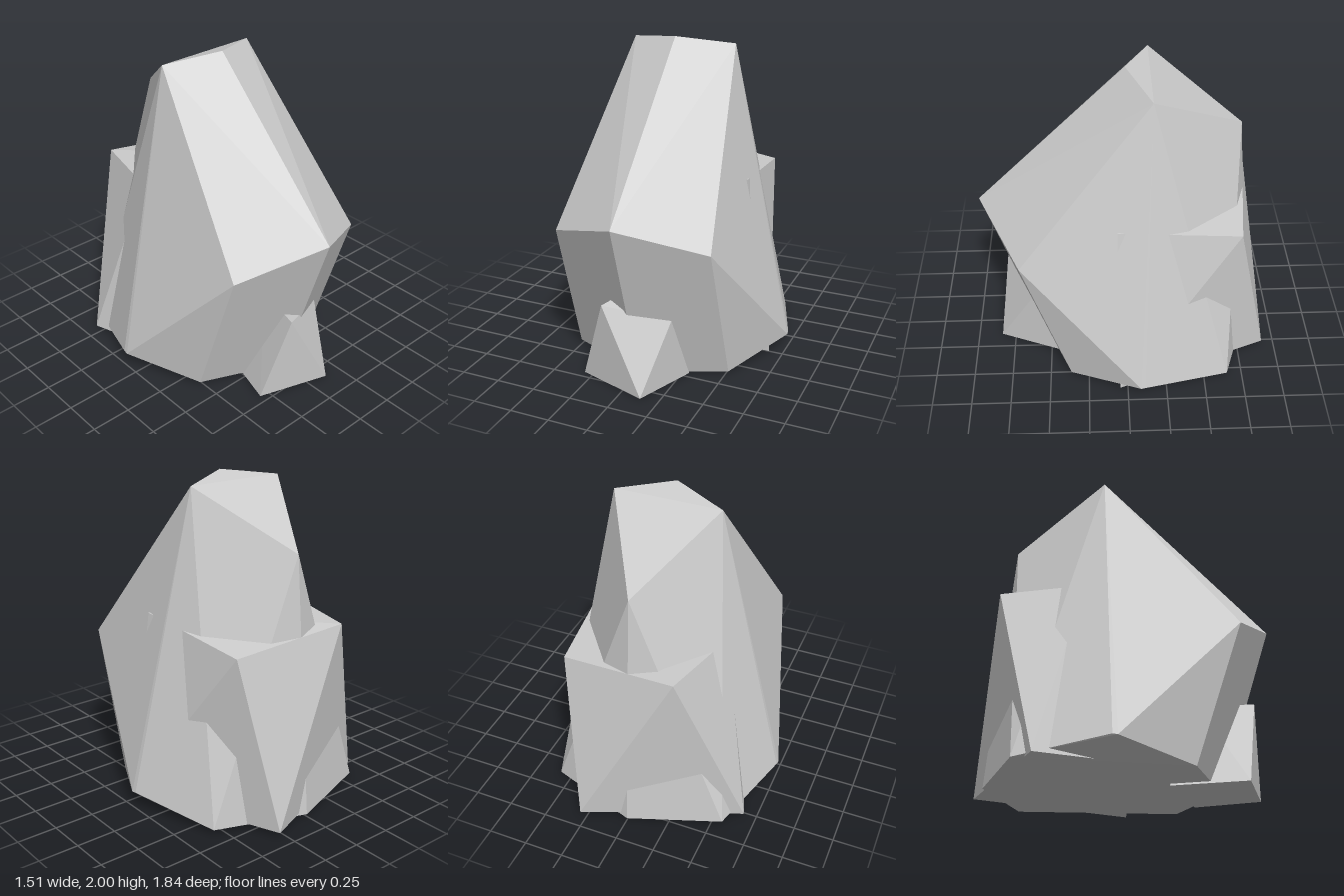
import * as THREE from 'three';
import { ConvexGeometry } from 'three/addons/geometries/ConvexGeometry.js';

const material = new THREE.MeshStandardMaterial({ color: 0xcccccc, flatShading: true });

// A faceted stone: the convex hull of its corners
function stone(name, corners) {
  const points = corners.map((c) => new THREE.Vector3(...c));
  const mesh = new THREE.Mesh(new ConvexGeometry(points), material);
  mesh.name = name;
  return mesh;
}

// Adds the mirrored twin of every corner that lies off the centre plane
function mirrored(corners) {
  return corners.flatMap(([x, y, z]) => (x === 0 ? [[x, y, z]] : [[x, y, z], [-x, y, z]]));
}

export function createModel() {
  const group = new THREE.Group();
  group.name = 'rockCluster';

  // Tall symmetric boulder with a forward-leaning brow
  group.add(stone('mainBoulder', mirrored([
    [0, 2, 0], [0.335, 1.955, -0.15], [0, 1.61, -0.705],          // top
    [0, 1.075, 0.918], [0.5, 0.905, 0.655],                       // brow
    [0.755, 0.105, -0.08], [0.752, 0.11, -0.11],                  // widest side
    [0, 0.01, 0.58], [0.515, 0.015, 0.365],                       // front foot
    [0.57, 0.03, -0.65], [0, 0.015, -0.84],                       // back foot
  ])));

  // Lower slab leaning on the back
  group.add(stone('backSlab', [
    [0.44, 1.08, -0.695], [-0.295, 1.155, -0.78], [-0.43, 1.16, -0.26], [0.505, 1.175, 0.06],
    [0.29, 0.03, -0.917], [-0.675, 0.03, -0.535], [-0.5, 0.03, 0], [0.675, 0.03, 0.05],
  ]));

  // Small stone at the front foot
  group.add(stone('frontStone', [
    [-0.14, 0.53, 0.78], [0.24, 0.43, 0.61], [-0.05, 0.54, 0.45],
    [0.135, 0, 0.842], [-0.31, 0, 0.7], [0.29, 0, 0.455], [-0.18, 0, 0.25],
  ]));

  return group;
}
